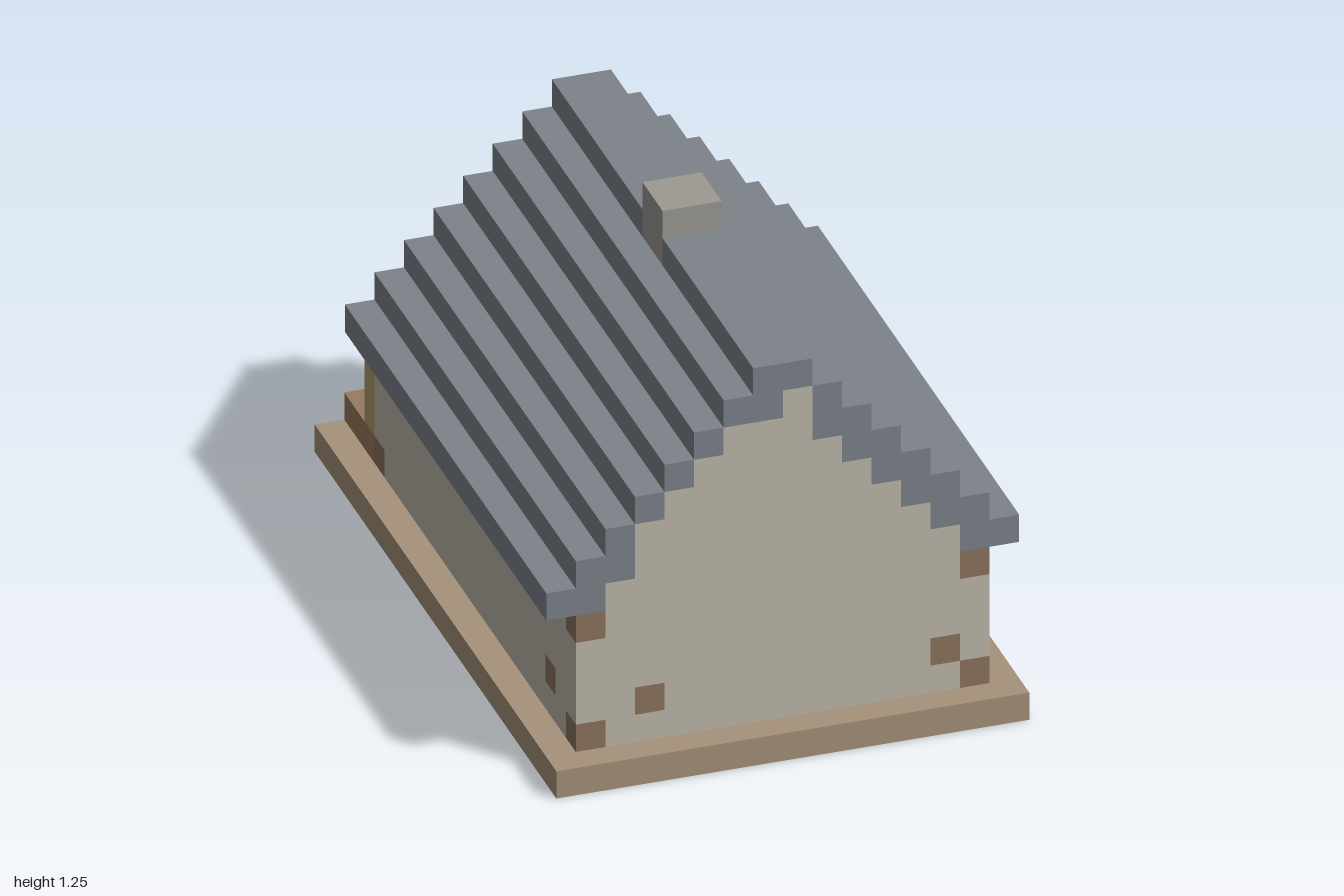
import * as THREE from 'three';

const U = 1 / 12; // edge length of one block

const COLORS = {
  base: 0xa6927b, walls: 0xbdb8aa, timbers: 0x8c745d, roof: 0x7d838a,
  chimney: 0x9d9a93, awningFrame: 0xaca06c, awningPanel: 0xa5856c,
  awningOpenings: 0x76604f, window: 0x7d838a, porchPosts: 0x9a7a60,
};

// The six block faces: outward normal n and two edge directions with a x b = n
const FACES = [
  [[1, 0, 0], [0, 1, 0], [0, 0, 1]], [[-1, 0, 0], [0, 0, 1], [0, 1, 0]],
  [[0, 1, 0], [0, 0, 1], [1, 0, 0]], [[0, -1, 0], [1, 0, 0], [0, 0, 1]],
  [[0, 0, 1], [1, 0, 0], [0, 1, 0]], [[0, 0, -1], [0, 1, 0], [1, 0, 0]],
];

export function createModel() {
  const cells = new Map();
  const key = (x, y, z) => `${x},${y},${z}`;

  // Fill an inclusive range of blocks with a part; later fills replace earlier ones
  function fill(part, x0, x1, y0, y1, z0, z1) {
    for (let x = x0; x <= x1; x++)
      for (let y = y0; y <= y1; y++)
        for (let z = z0; z <= z1; z++) cells.set(key(x, y, z), { part, p: [x, y, z] });
  }
  const block = (part, x, y, z) => fill(part, x, x, y, y, z, z);

  // Base slab
  fill('base', -8, 7, 0, 0, -12, 11);

  // Side walls
  for (const x of [-7, 6]) fill('walls', x, x, 1, 5, -9, 10);

  // Stepped roof and the gable columns beneath it
  for (let j = 0; j < 8; j++) {
    for (const x of [j, -1 - j]) {
      if (j < 7) for (const z of [-9, 10]) fill('walls', x, x, 1, 12 - j, z, z);
      fill('roof', x, x, Math.max(6, 12 - j), 13 - j, -9, 10);
    }
  }
  // On one slope of each gable the wall reaches one block higher
  for (let j = 1; j <= 4; j++) {
    block('walls', -1 - j, 12 - j, 10);
    block('walls', j, 12 - j, -9);
  }
  block('walls', 0, 12, 10);
  block('walls', -1, 12, -9);

  // Chimney, standing on the floor
  fill('chimney', -1, 0, 1, 14, 0, 1);

  // Exposed timber ends at the corners and in the walls
  for (const x of [-7, 6]) {
    for (const z of [-9, 10]) for (const y of [1, 5]) block('timbers', x, y, z);
    block('timbers', x, 2, 8);
  }
  for (const [x, z] of [[-5, 10], [5, 10], [5, -9], [4, -9]]) block('timbers', x, 2, z);
  block('window', 3, 2, -9);

  // Framed awning panel on the back wall
  fill('awningFrame', -7, 2, 2, 5, -10, -10);
  fill('awningPanel', -6, 1, 2, 4, -10, -10);
  fill('awningOpenings', -4, -2, 3, 4, -10, -10);
  fill('awningOpenings', 0, 0, 3, 4, -10, -10);
  block('awningOpenings', -6, 4, -10);

  // Porch posts
  fill('porchPosts', -7, -7, 1, 1, -12, -10);
  for (const x of [-3, 3]) block('porchPosts', x, 1, -10);

  // Collect the exposed faces of each part; the underside of the base is open
  const parts = {};
  for (const { part, p } of cells.values()) {
    const out = (parts[part] ??= { pos: [], nor: [] });
    for (const [n, a, b] of FACES) {
      if (p[1] === 0 && n[1] < 0) continue;
      if (cells.has(key(p[0] + n[0], p[1] + n[1], p[2] + n[2]))) continue;
      for (const [s, t] of [[0, 0], [1, 0], [1, 1], [0, 0], [1, 1], [0, 1]]) {
        for (let i = 0; i < 3; i++)
          out.pos.push((p[i] + Math.max(n[i], 0) + s * a[i] + t * b[i]) * U);
        out.nor.push(...n);
      }
    }
  }

  const model = new THREE.Group();
  model.name = 'cottage';
  for (const [name, { pos, nor }] of Object.entries(parts)) {
    const geometry = new THREE.BufferGeometry();
    geometry.setAttribute('position', new THREE.Float32BufferAttribute(pos, 3));
    geometry.setAttribute('normal', new THREE.Float32BufferAttribute(nor, 3));
    const mesh = new THREE.Mesh(geometry, new THREE.MeshStandardMaterial({
      color: COLORS[name], side: THREE.DoubleSide,
    }));
    mesh.name = name;
    model.add(mesh);
  }
  return model;
}
